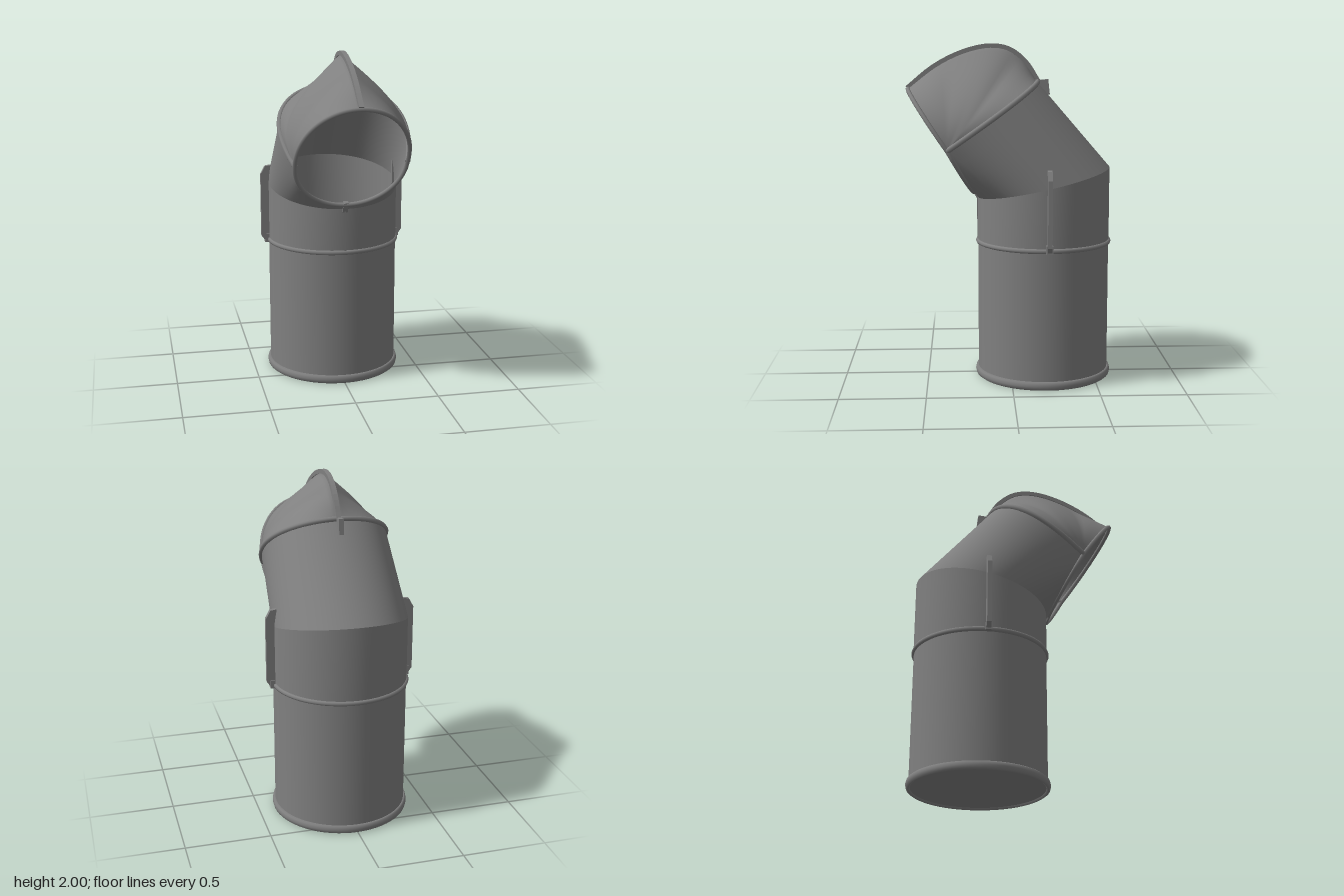
import * as THREE from 'three';

const V = (x, y, z) => new THREE.Vector3(x, y, z);
const CZ = -0.2, R = 0.393, SEG = 64;      // upright pipe axis and radius
const PY = 1.395, PZ = 0.372, PX = 0.325;  // hinge points where hood seam meets the mouth
const SPLIT = THREE.MathUtils.degToRad(50);

// Skin a surface over a list of equal-length point rows
function loft(rows, closed) {
  const n = rows[0].length, pos = [], idx = [];
  rows.forEach(r => r.forEach(p => pos.push(p.x, p.y, p.z)));
  for (let i = 0; i < rows.length - 1; i++)
    for (let j = 0; j < (closed ? n : n - 1); j++) {
      const k = (j + 1) % n, a = i * n + j, b = i * n + k, c = a + n, d = b + n;
      idx.push(a, b, d, a, d, c);
    }
  const g = new THREE.BufferGeometry();
  g.setAttribute('position', new THREE.Float32BufferAttribute(pos, 3));
  g.setIndex(idx);
  g.computeVertexNormals();
  return g;
}

// Half arc from hinge to hinge over an apex (z, y); t runs 0..1
function arcPoint(t, az, ay, bulge, peak) {
  const phi = t * Math.PI, c = Math.cos(phi), s = Math.sin(phi);
  const lin = 1 - Math.abs(2 * t - 1);
  const d = THREE.MathUtils.lerp(s, lin, peak);
  return V(c * (PX + bulge * s), PY + (ay - PY) * d, PZ + (az - PZ) * d);
}
const arc = (n, ...args) => Array.from({ length: n + 1 }, (_, i) => arcPoint(i / n, ...args));

const ridge = new THREE.CatmullRomCurve3([
  V(0, 1.775, -0.16), V(0, 1.89, -0.085), V(0, 1.962, 0.01), V(0, 1.98, 0.12),
  V(0, 1.945, 0.28), V(0, 1.86, 0.45), V(0, 1.735, 0.605)]);
const seamArgs = [-0.16, 1.775, 0.2, 0];
const mouthTop = [0.605, 1.735, 0.02, 0];
const mouthLow = [0.215, 1.12, 0, 0];

export function createModel() {
  const group = new THREE.Group();
  const metal = new THREE.MeshStandardMaterial({ color: 0x808080, side: THREE.DoubleSide });
  metal.name = 'grey metal';
  const add = (name, geo) => {
    const m = new THREE.Mesh(geo, metal);
    m.name = name;
    group.add(m);
    return m;
  };
  const tube = (pts, r, closed = false) =>
    new THREE.TubeGeometry(new THREE.CatmullRomCurve3(pts, closed), 96, r, 8, closed);
  // Flat plate drawn in (z, y), centred on x
  const plate = (pts, thick) => {
    const g = new THREE.ExtrudeGeometry(
      new THREE.Shape(pts.map(p => new THREE.Vector2(p[0], p[1]))), { depth: thick, bevelEnabled: false });
    return g.translate(0, 0, -thick / 2).rotateY(-Math.PI / 2);
  };

  // Upright pipe with floor and beads
  const pipe = new THREE.CylinderGeometry(R, R, 0.81, SEG, 1, true);
  add('lowerPipe', pipe).position.set(0, 0.415, CZ);
  const floor = new THREE.CircleGeometry(R, SEG).rotateX(Math.PI / 2);
  add('floor', floor).position.set(0, 0.012, CZ);
  for (const [name, y, r, h] of [['baseRim', 0.026, 0.395, 0.026], ['collarBead', 0.825, 0.392, 0.014]]) {
    const bead = add(name, new THREE.TorusGeometry(r, 0.015, 8, SEG).rotateX(Math.PI / 2));
    bead.scale.y = h / 15 * 1000 * 0.9 > 1 ? h / 0.015 : 1;
    bead.position.set(0, y, CZ);
  }

  // Elbow: straight collar cut at a slant, then the leaning section
  const angles = Array.from({ length: SEG }, (_, i) => i / SEG * Math.PI * 2 - Math.PI);
  const ring = (r, yOf) => angles.map(a => V(Math.sin(a) * r, yOf(a), CZ + Math.cos(a) * r));
  const mitre = ring(0.395, a => 1.18 - 0.09 * Math.cos(a));
  add('elbowCollar', loft([ring(0.395, () => 0.82), mitre], true));

  // End ring follows the mouth below the hinges and the hood seam above them
  const end = angles.map(a => {
    const m = Math.abs(a), sign = a < 0 ? -1 : 1;
    const p = m < SPLIT
      ? arcPoint(0.5 - 0.5 * m / SPLIT, ...mouthLow)
      : arcPoint(0.5 * (m - SPLIT) / (Math.PI - SPLIT), ...seamArgs);
    p.x *= sign;
    return p;
  });
  const rows = [0, 0.25, 0.5, 0.75, 1].map(t => mitre.map((p, i) => p.clone().lerp(end[i], t)));
  add('elbowNeck', loft(rows, true));

  // Hood: arcs fanned about the hinge points along the ridge
  const hood = [];
  for (let i = 0; i <= 24; i++) {
    const s = i / 24, p = ridge.getPoint(s);
    const peak = Math.min(1, Math.sin(Math.PI * s) * 1.4);
    hood.push(arc(48, p.z, p.y, THREE.MathUtils.lerp(0.2, 0.02, s), peak));
  }
  add('hood', loft(hood, false));
  add('hoodSeam', tube(arc(32, ...seamArgs), 0.016));

  // Mouth rim
  const rim = [...arc(24, ...mouthTop).slice(0, -1), ...arc(24, ...mouthLow).reverse().slice(0, -1)];
  add('mouthRim', tube(rim, 0.013, true));
  const tab = add('mouthTab', new THREE.BoxGeometry(0.03, 0.07, 0.025));
  tab.position.set(0, 1.105, 0.2);
  tab.rotation.x = 0.5;

  // Ridge fin along the top, running on past the hood at the back
  const inner = [], outer = [];
  for (let i = 0; i <= 24; i++) {
    const p = ridge.getPoint(i / 24), t = ridge.getTangent(i / 24);
    inner.push([p.z + t.y * 0.006, p.y - t.z * 0.006]);
    outer.push([p.z - t.y * 0.02, p.y + t.z * 0.02]);
  }
  add('ridgeFin', plate([[-0.205, 1.70], ...inner, ...outer.reverse(), [-0.225, 1.79], [-0.235, 1.70]], 0.028));

  // Side flanges and the front joint of the collar
  for (const side of [-1, 1]) {
    const shape = new THREE.Shape([[0.38, 0.82], [0.415, 0.81], [0.443, 0.85], [0.443, 1.235], [0.415, 1.285],
      [0.38, 1.29]].map(p => new THREE.Vector2(p[0] * side, p[1])));
    const g = new THREE.ExtrudeGeometry(shape, { depth: 0.026, bevelEnabled: false });
    add(side > 0 ? 'leftFlange' : 'rightFlange', g).position.z = -0.222;
    add(side > 0 ? 'leftFlangeFoot' : 'rightFlangeFoot', new THREE.BoxGeometry(0.035, 0.05, 0.04))
      .position.set(side * 0.405, 0.835, -0.208);
  }
  add('frontJoint', new THREE.BoxGeometry(0.008, 0.26, 0.008)).position.set(0, 0.95, 0.195);

  return group;
}
